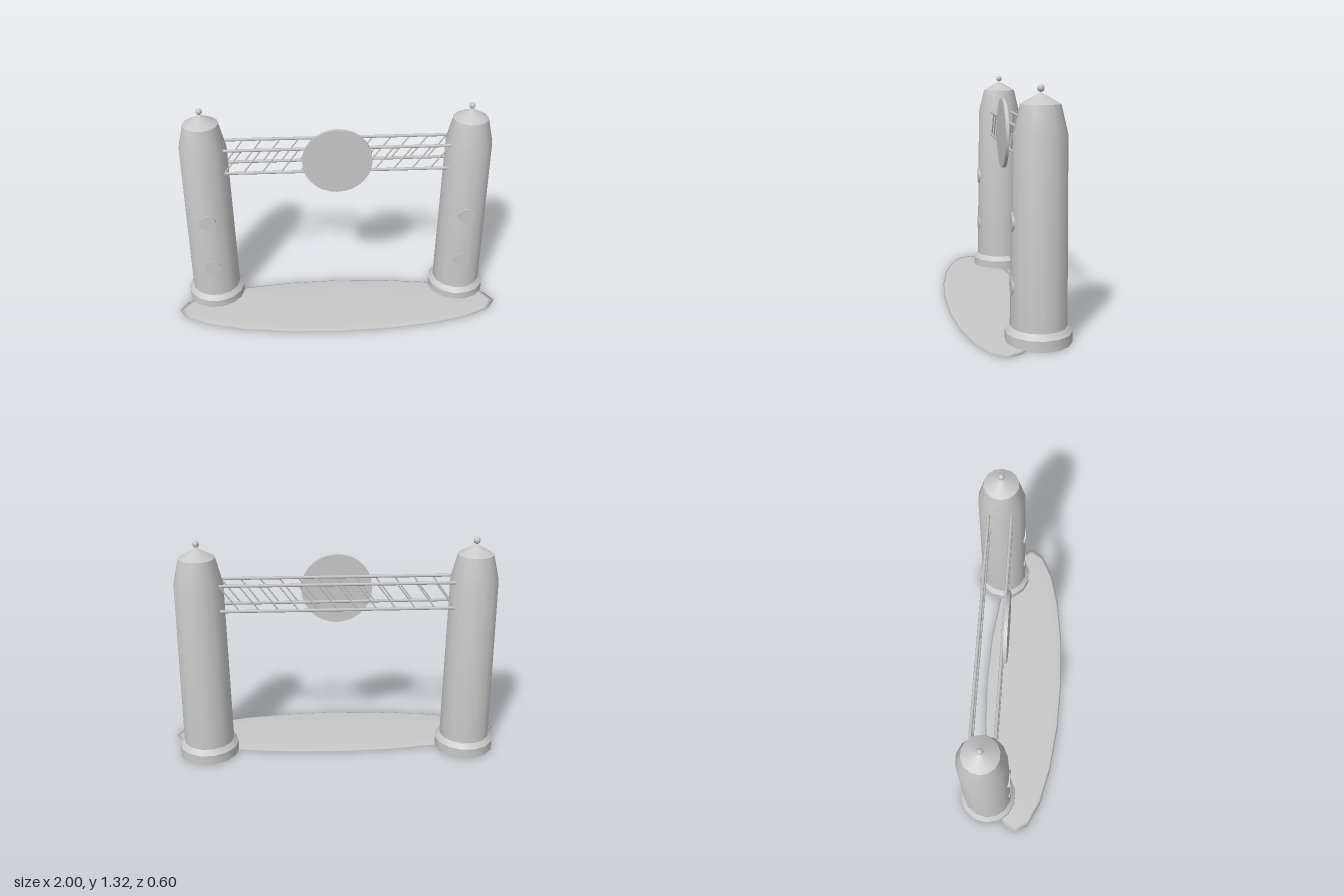
import * as THREE from 'three';
import { toCreasedNormals } from 'three/addons/utils/BufferGeometryUtils.js';

const grey = new THREE.MeshStandardMaterial({ color: 0xc8c8c8 });
grey.name = 'stone grey';

function add(parent, name, geometry, x = 0, y = 0, z = 0) {
  const mesh = new THREE.Mesh(geometry, grey);
  mesh.name = name;
  mesh.position.set(x, y, z);
  parent.add(mesh);
  return mesh;
}

// Round bar between two points
function bar(parent, name, a, b, radius) {
  const dir = b.clone().sub(a);
  const mesh = add(parent, name, new THREE.CylinderGeometry(radius, radius, dir.length(), 6));
  mesh.position.copy(a).add(b).multiplyScalar(0.5);
  mesh.quaternion.setFromUnitVectors(new THREE.Vector3(0, 1, 0), dir.normalize());
}

// Flat disc facing +z
function disc(radius, depth, sides) {
  return new THREE.CylinderGeometry(radius, radius, depth, sides).rotateX(Math.PI / 2);
}

function createTower(name, x) {
  const tower = new THREE.Group();
  tower.name = name;
  tower.position.set(x, 0, -0.134);
  // Flared foot, tapered shaft and pointed cap
  const profile = [
    [0, 0], [0.175, 0], [0.175, 0.058], [0.149, 0.087],
    [0.138, 1.07], [0.102, 1.22], [0, 1.277],
  ].map(([r, y]) => new THREE.Vector2(r, y));
  const body = new THREE.LatheGeometry(profile, 14, Math.PI / 2);
  add(tower, 'towerBody', toCreasedNormals(body, 0.6));
  add(tower, 'finial', new THREE.SphereGeometry(0.019, 8, 6), 0, 1.296, 0);
  // Round windows on the front
  for (const y of [0.3, 0.63]) add(tower, 'window', disc(0.05, 0.02, 16), 0, y, 0.136);
  return tower;
}

// Two rails joined by slanted bars
function createTruss(name, z) {
  const truss = new THREE.Group();
  truss.name = name;
  const half = 0.656, low = 0.926, high = 1.075, bays = 12;
  const step = (2 * half) / bays;
  for (const y of [low, high]) {
    bar(truss, 'rail', new THREE.Vector3(-half, y, z), new THREE.Vector3(half, y, z), 0.009);
  }
  for (let i = 0; i < bays; i++) {
    const x = -half + i * step;
    bar(truss, 'diagonal', new THREE.Vector3(x, low, z), new THREE.Vector3(x + step, high, z), 0.0045);
  }
  return truss;
}

export function createModel() {
  const model = new THREE.Group();
  model.name = 'gateway';

  // Low oval mound with a flat underside
  const ground = new THREE.Group();
  ground.name = 'ground';
  ground.position.set(0, 0.002, 0.05);
  const dome = new THREE.SphereGeometry(1, 20, 6, 0, Math.PI * 2, 0, Math.PI / 2);
  add(ground, 'groundTop', dome.scale(1, 0.013, 0.25));
  add(ground, 'groundUnderside', new THREE.CircleGeometry(1, 20).rotateX(Math.PI / 2).scale(1, 1, 0.25));
  model.add(ground);

  model.add(createTower('leftTower', 0.775), createTower('rightTower', -0.775));
  model.add(createTruss('frontTruss', -0.07), createTruss('backTruss', -0.203));

  // Round sign in front of the trusses
  add(model, 'signDisc', disc(0.204, 0.02, 28), 0, 1.0, -0.053);
  return model;
}
